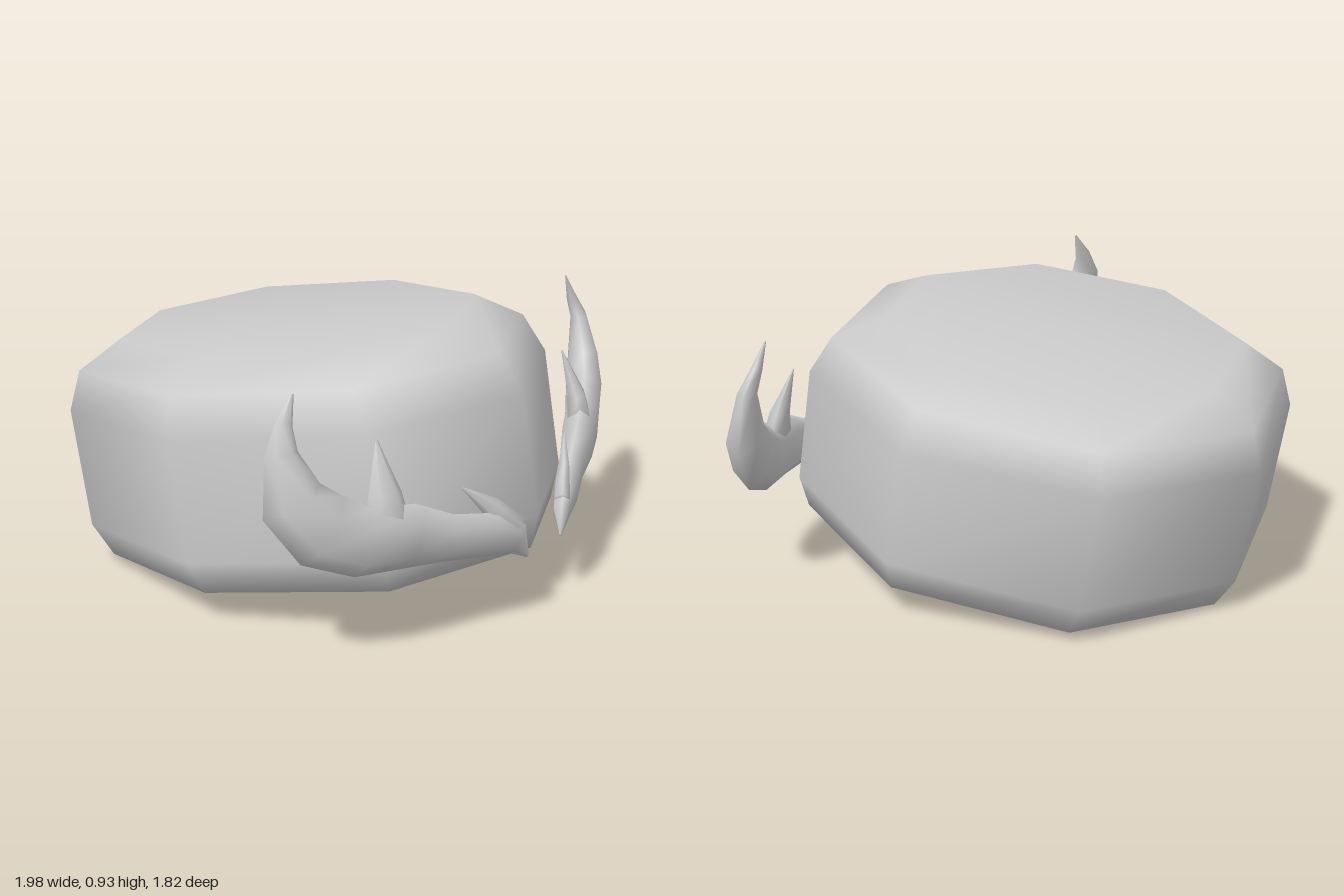
import * as THREE from 'three';

const material = new THREE.MeshStandardMaterial({ color: 0xcccccc, side: THREE.DoubleSide });

// Smooth closed skin over rings that run counter-clockwise about the lofting direction
function loft(rings, name) {
  const n = rings[0].length, pos = [], idx = [];
  rings.forEach(ring => ring.forEach(p => pos.push(p.x, p.y, p.z)));
  for (let i = 0; i < rings.length - 1; i++) {
    for (let j = 0; j < n; j++) {
      const a = i * n + j, b = i * n + (j + 1) % n;
      idx.push(a, b, b + n, a, b + n, a + n);
    }
  }
  // Caps share the ring vertices, so the shading rolls over the rim
  const addCap = (row, flip) => {
    const c = rings[row].reduce((s, p) => s.add(p), new THREE.Vector3()).divideScalar(n);
    const k = pos.length / 3;
    pos.push(c.x, c.y, c.z);
    for (let j = 0; j < n; j++) {
      const a = row * n + j, b = row * n + (j + 1) % n;
      if (flip) idx.push(k, b, a); else idx.push(k, a, b);
    }
  };
  addCap(0, true);
  addCap(rings.length - 1, false);
  const g = new THREE.BufferGeometry();
  g.setAttribute('position', new THREE.Float32BufferAttribute(pos, 3));
  g.setIndex(idx);
  g.computeVertexNormals();
  const mesh = new THREE.Mesh(g, material);
  mesh.name = name;
  return mesh;
}

// Eight-sided crown ring, tilted down towards the back
function crownRing([h, rx, rz, centre]) {
  return Array.from({ length: 8 }, (_, j) => {
    const a = j * Math.PI / 4;
    const r = centre + rz * Math.cos(a) * (j % 2 ? 1.03 : 1);
    return new THREE.Vector3(rx * Math.sin(a), 0.992 * h + 0.128 * r, 0.992 * r - 0.128 * h);
  });
}

// Tapering, flattened antler branch through points [x, y, z, half width]
function branch(points, name) {
  const outward = new THREE.Vector3(0.5, 0, 0.87);
  const p = points.map(q => new THREE.Vector3(q[0], q[1], q[2]));
  const rings = p.map((c, i) => {
    const t = p[Math.min(i + 1, p.length - 1)].clone().sub(p[Math.max(i - 1, 0)]).normalize();
    const n = outward.clone().addScaledVector(t, -outward.dot(t)).normalize();
    const b = t.clone().cross(n);
    return Array.from({ length: 6 }, (_, j) => {
      const a = j * Math.PI / 3 + Math.PI / 6, r = points[i][3];
      return c.clone().addScaledVector(n, 0.58 * r * Math.cos(a)).addScaledVector(b, r * Math.sin(a));
    });
  });
  return loft(rings, name);
}

function antler() {
  const g = new THREE.Group();
  g.add(branch([
    [0.11, 0.23, 0.90, 0.006], [0.15, 0.30, 0.88, 0.055], [0.24, 0.335, 0.845, 0.075],
    [0.40, 0.36, 0.775, 0.08], [0.54, 0.40, 0.72, 0.108], [0.70, 0.415, 0.65, 0.115],
    [0.825, 0.48, 0.585, 0.125], [0.91, 0.59, 0.53, 0.105], [0.92, 0.74, 0.50, 0.055],
    [0.885, 0.82, 0.485, 0.03], [0.84, 0.905, 0.485, 0.004],
  ], 'antlerBeam'));
  g.add(branch([
    [0.16, 0.335, 0.875, 0.05], [0.235, 0.425, 0.835, 0.035], [0.33, 0.51, 0.78, 0.004],
  ], 'innerProng'));
  g.add(branch([
    [0.62, 0.43, 0.685, 0.09], [0.61, 0.55, 0.67, 0.058], [0.585, 0.71, 0.62, 0.004],
  ], 'middleProng'));
  return g;
}

export function createModel() {
  const model = new THREE.Group();
  // Crown: height, half width, half depth, centre offset
  const profile = [
    [0.10, 0.74, 0.807, 0.063], [0.215, 0.79, 0.857, 0.048], [0.63, 0.79, 0.862, 0.025],
    [0.765, 0.74, 0.80, 0.013], [0.857, 0.60, 0.63, 0.004],
  ];
  model.add(loft(profile.map(crownRing), 'crown'));

  // Pair of antlers along the front
  for (const side of [1, -1]) {
    const a = antler();
    a.name = side > 0 ? 'leftAntler' : 'rightAntler';
    a.scale.x = side;
    model.add(a);
  }
  return model;
}
